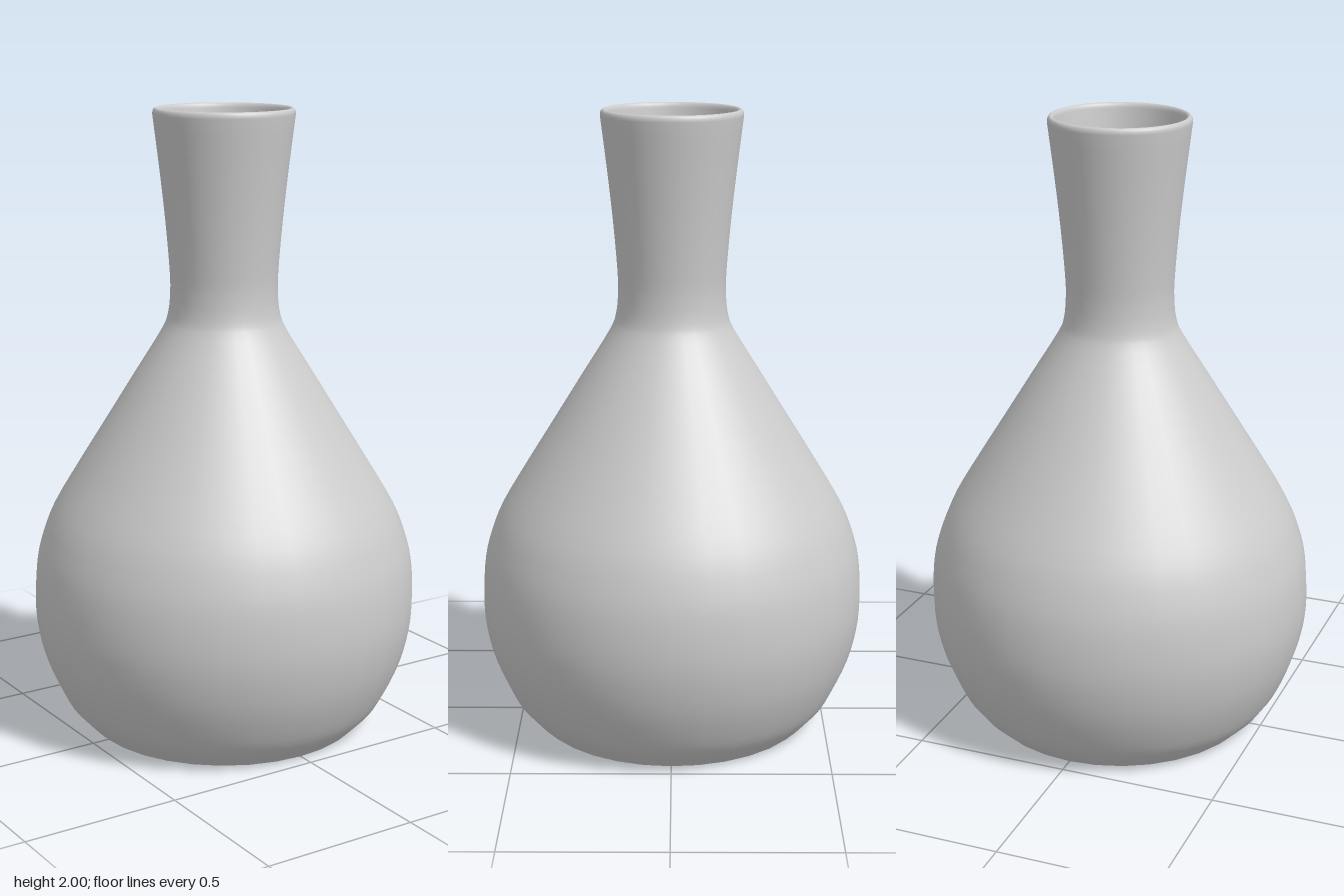
import * as THREE from 'three';

const SEGMENTS = 32;
const WALL = 0.021;
const FLOOR = 0.03;

export function createModel() {
  const group = new THREE.Group();
  group.name = 'vase';
  const material = new THREE.MeshStandardMaterial({ color: 0xcccccc });

  const addLathe = (name, points) => {
    const mesh = new THREE.Mesh(new THREE.LatheGeometry(points, SEGMENTS), material);
    mesh.name = name;
    group.add(mesh);
  };

  // Outer profile: radius, height
  const curve = new THREE.SplineCurve([
    [0.445, 0], [0.495, 0.05], [0.537, 0.11], [0.585, 0.22], [0.612, 0.33], [0.62, 0.43],
    [0.612, 0.54], [0.59, 0.63], [0.55, 0.73], [0.47, 0.865], [0.386, 1.0], [0.29, 1.155],
    [0.2, 1.3], [0.178, 1.355], [0.171, 1.42], [0.172, 1.49], [0.184, 1.64], [0.201, 1.8],
    [0.223, 1.98],
  ].map(([r, y]) => new THREE.Vector2(r, y)));

  const outer = [];
  const inner = [];
  const steps = 54;
  for (let i = 0; i <= steps; i++) {
    const p = curve.getPoint(i / steps);
    const t = curve.getTangent(i / steps);
    outer.push(p);
    inner.push(new THREE.Vector2(p.x - t.y * WALL, p.y + t.x * WALL));
  }

  // Rounded lip joining the outer and inner walls
  const lip = [];
  const centre = outer[steps].clone().add(inner[steps]).multiplyScalar(0.5);
  for (let i = 1; i < 8; i++) {
    const a = (i / 8) * Math.PI;
    lip.push(new THREE.Vector2(
      centre.x + Math.cos(a) * WALL / 2,
      centre.y + Math.sin(a) * (2 - centre.y),
    ));
  }

  // Inner wall runs down to the floor inside
  const inside = inner.filter((p) => p.y > FLOOR).reverse();
  const foot = new THREE.Vector2(inside[inside.length - 1].x - 0.005, FLOOR);
  addLathe('body', [...outer, ...lip, ...inside, foot]);

  // Flat underside and inside floor
  addLathe('base', [new THREE.Vector2(0, 0), outer[0].clone()]);
  addLathe('innerFloor', [foot.clone(), new THREE.Vector2(0, FLOOR)]);

  return group;
}
